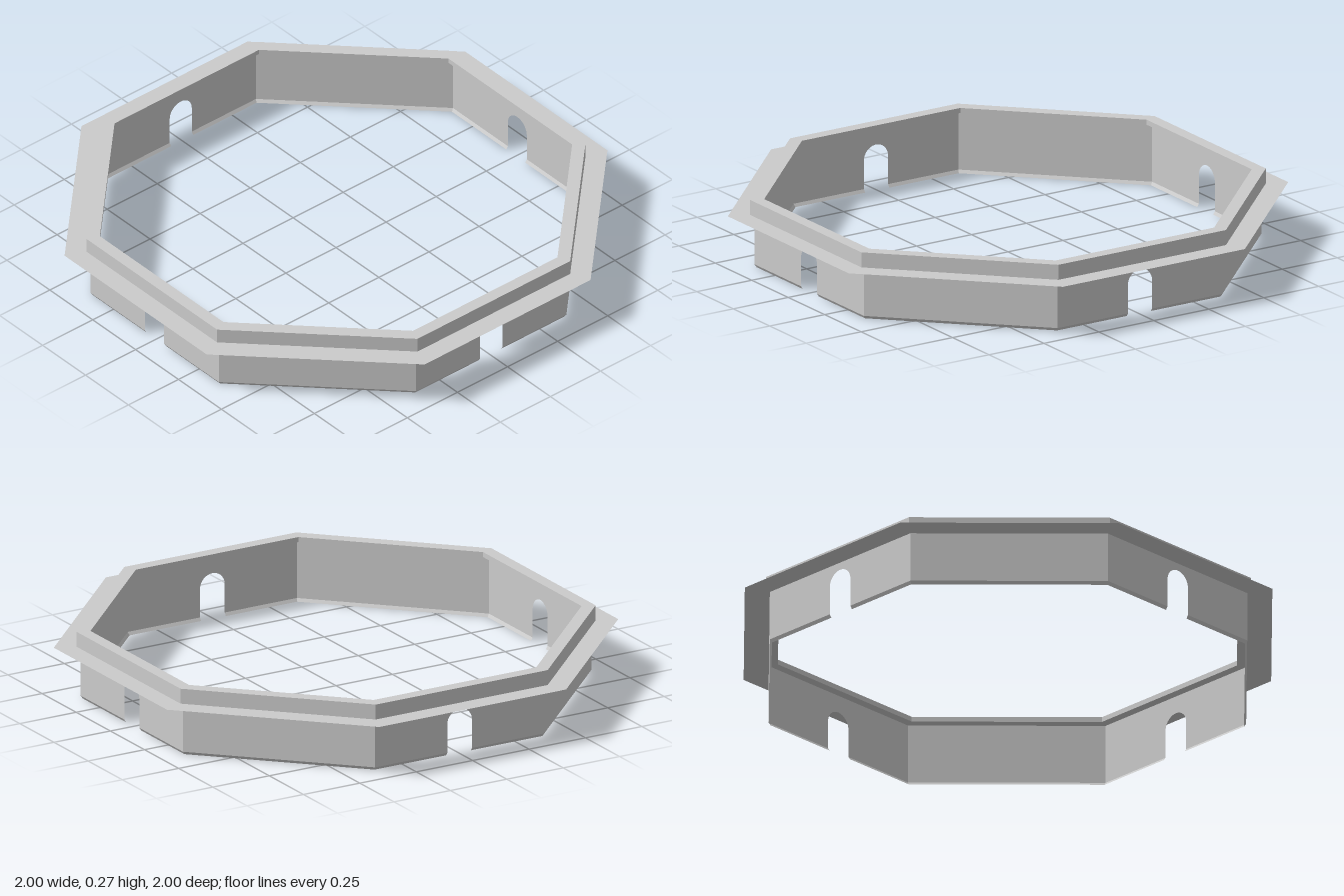
import * as THREE from 'three';

const SIDES = 8;
const TAN = Math.tan(Math.PI / SIDES);
const WALL = 0.905;   // distance of the wall from the axis
const FOOT = 0.897;   // distance of the bevelled foot
const BEVEL = 0.012;  // height of the bevel
const WALL_TOP = 0.25;
const ARCH = 0.055;   // half width of the arched opening
const SPRING = 0.125; // height where the arch begins

const material = new THREE.MeshStandardMaterial({
  color: 0xcccccc, flatShading: true, side: THREE.DoubleSide,
});

// Octagonal ring from a profile of [distance to flat, height]
function octagonRing(name, profile) {
  const points = profile.map(([r, y]) => new THREE.Vector2(r / Math.cos(Math.PI / SIDES), y));
  const geometry = new THREE.LatheGeometry(points, SIDES, Math.PI / SIDES).toNonIndexed();
  geometry.computeVertexNormals();
  const mesh = new THREE.Mesh(geometry, material);
  mesh.name = name;
  return mesh;
}

// Flat wall sheet, optionally with an arched opening at the bottom
function wallPanel(open) {
  const w = WALL * TAN;
  const shape = new THREE.Shape();
  shape.moveTo(-w, BEVEL);
  if (open) {
    shape.lineTo(-ARCH, BEVEL);
    shape.lineTo(-ARCH, SPRING);
    shape.absarc(0, SPRING, ARCH, Math.PI, 0, true);
    shape.lineTo(ARCH, BEVEL);
  }
  shape.lineTo(w, BEVEL);
  shape.lineTo(w, WALL_TOP);
  shape.lineTo(-w, WALL_TOP);
  shape.closePath();
  const mesh = new THREE.Mesh(new THREE.ShapeGeometry(shape, 12), material);
  mesh.position.z = WALL;
  mesh.name = open ? 'archedWall' : 'plainWall';
  return mesh;
}

// Narrow strip below a wall that turns slightly inward
function footStrip(bottomLeft, bottomRight, topLeft, topRight) {
  const geometry = new THREE.BufferGeometry();
  geometry.setAttribute('position', new THREE.Float32BufferAttribute([
    bottomLeft, 0, FOOT, bottomRight, 0, FOOT,
    topRight, BEVEL, WALL, topLeft, BEVEL, WALL,
  ], 3));
  geometry.setIndex([0, 1, 2, 0, 2, 3]);
  geometry.computeVertexNormals();
  const mesh = new THREE.Mesh(geometry, material);
  mesh.name = 'wallFoot';
  return mesh;
}

export function createModel() {
  const model = new THREE.Group();
  model.name = 'octagonalFrame';

  // Eight walls, every second one with an opening
  const foot = FOOT * TAN, wall = WALL * TAN;
  for (let i = 0; i < SIDES; i++) {
    const side = new THREE.Group();
    side.name = 'side';
    const open = i % 2 === 0;
    side.add(wallPanel(open));
    if (open) {
      side.add(footStrip(-foot, -ARCH, -wall, -ARCH), footStrip(ARCH, foot, ARCH, wall));
    } else {
      side.add(footStrip(-foot, foot, -wall, wall));
    }
    side.rotation.y = (i * 2 * Math.PI) / SIDES;
    model.add(side);
  }

  // Raised rim with a lip overhanging the inside
  model.add(octagonRing('rim', [
    [WALL, 0.21], [0.92, 0.21], [0.92, 0.27], [0.87, 0.27], [0.87, WALL_TOP], [WALL, WALL_TOP],
  ]));

  // Thin flange around the outside
  model.add(octagonRing('flange', [[1, 0.21], [0.92, 0.21]]));

  return model;
}
